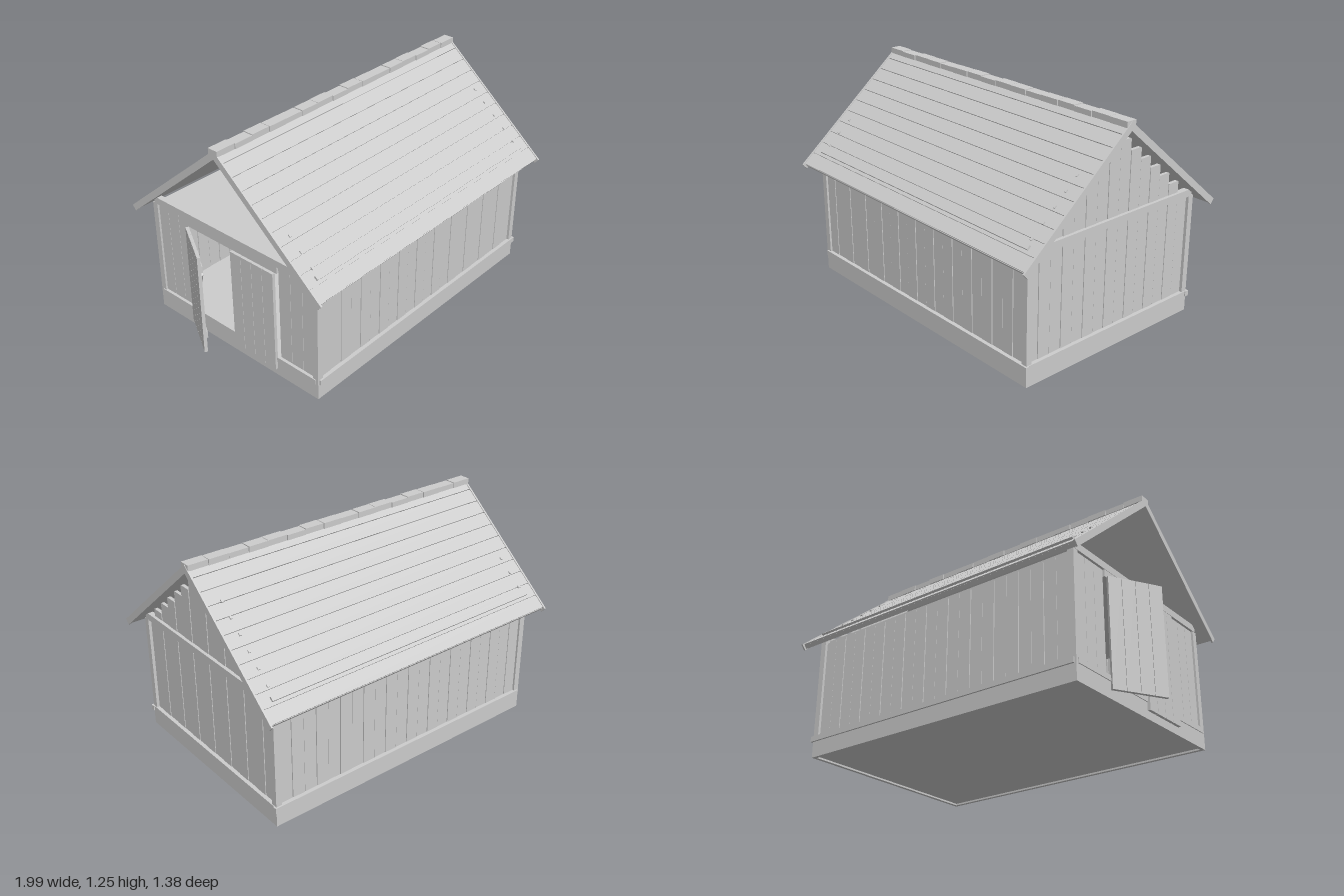
import * as THREE from 'three';

const wood = new THREE.MeshStandardMaterial({ color: 0xcccccc });
wood.name = 'pale grey wood';

// Box given by its extents on each axis
function slab(parent, name, x0, x1, y0, y1, z0, z1) {
  const m = new THREE.Mesh(new THREE.BoxGeometry(x1 - x0, y1 - y0, z1 - z0), wood);
  m.position.set((x0 + x1) / 2, (y0 + y1) / 2, (z0 + z1) / 2);
  m.name = name;
  parent.add(m);
  return m;
}

function section(parent, name) {
  const g = new THREE.Group();
  g.name = name;
  parent.add(g);
  return g;
}

const X0 = -0.83, X1 = 0.92, Z = 0.6;
const ROOF0 = -0.9, ROOF1 = 0.99, APEX = 1.245;
const PITCH = Math.atan2(0.58, 0.69), SLOPE = 0.9;
const underRoof = z => 1.195 - 0.845 * Math.abs(z);

export function createModel() {
  const barn = new THREE.Group();
  barn.name = 'barn';

  // Plinth boards, floor and sill rails
  const base = section(barn, 'base');
  slab(base, 'floor', X0 + 0.02, X1 - 0.02, 0.01, 0.1, -Z + 0.02, Z - 0.02);
  for (const s of [-1, 1]) {
    const z = s * (Z - 0.01);
    slab(base, 'plinthLong', X0, X1, 0, 0.09, z - 0.01, z + 0.01);
    slab(base, 'sillRail', X0 + 0.01, X1 + 0.01, 0.09, 0.12, s * 0.598 - 0.012, s * 0.598 + 0.012);
  }
  slab(base, 'plinthRight', X0, X0 + 0.02, 0, 0.09, -Z + 0.02, Z - 0.02);
  slab(base, 'plinthLeft', X1 - 0.02, X1, 0, 0.09, -Z + 0.02, Z - 0.02);
  slab(base, 'sillLeft', X1 - 0.02, X1 + 0.005, 0.09, 0.12, -0.585, 0.585);
  slab(base, 'sillRight', X0 - 0.005, X0 + 0.02, 0.09, 0.12, -0.585, 0.585);

  // Corner posts and tie beams
  const frame = section(barn, 'frame');
  for (const s of [-1, 1]) {
    for (const x of [X0, X1 - 0.035]) {
      const z = s * (Z - 0.0175);
      slab(frame, 'cornerPost', x, x + 0.035, 0.09, 0.69, z - 0.0175, z + 0.0175);
    }
  }
  slab(frame, 'tieBeamLeft', X1 - 0.03, X1 + 0.002, 0.69, 0.73, -0.585, 0.585);
  slab(frame, 'tieBeamRight', X0 - 0.002, X0 + 0.03, 0.69, 0.73, -0.585, 0.585);
  slab(frame, 'loftFloor', X0 + 0.02, X1 - 0.02, 0.69, 0.705, -0.565, 0.565);

  // Long wall planks
  const walls = section(barn, 'walls');
  const n = 22, w = (X1 - X0 - 0.07) / n;
  for (const s of [-1, 1]) {
    for (let i = 0; i < n; i++) {
      const x = X0 + 0.035 + i * w, z = s * (Z - 0.02 - 0.002 * (i % 2));
      slab(walls, 'wallPlank', x + 0.001, x + w - 0.002, 0.1, 0.68, z - 0.009, z + 0.009);
    }
  }

  // Closed gable: planks with stepped tops under the roof
  const gw = 0.077;
  for (let i = -7; i <= 7; i++) {
    const z = i * gw + 0.012;
    const far = Math.max(Math.abs(z - gw / 2), Math.abs(z + gw / 2));
    const top = i === 0 ? 1.18 : underRoof(far) + 0.012;
    slab(walls, 'gablePlank', X1 - 0.035, X1 - 0.015 - 0.002 * (i & 1), 0.1, top,
      Math.max(z - gw / 2 + 0.001, -0.57), Math.min(z + gw / 2 - 0.002, 0.575));
  }

  // Doorway end: planks beside the opening and a lintel
  for (const s of [-1, 1]) {
    for (let i = 0; i < 3; i++) {
      const z = s * (0.37 + i * 0.08);
      slab(walls, 'doorwayPlank', X0 + 0.012, X0 + 0.032, 0.1, 0.69, z - 0.039, z + 0.039);
    }
  }
  slab(walls, 'lintel', X0, X0 + 0.03, 0.65, 0.69, -0.33, 0.33);

  // Door leaves: one swung outwards, one shut
  function doorLeaf(name, z, swing) {
    const leaf = section(barn, name);
    for (let i = 0; i < 4; i++) {
      slab(leaf, 'doorPlank', -0.009, 0.009, 0.045, 0.65, i * 0.076, i * 0.076 + 0.074);
    }
    for (const y of [0.12, 0.54]) slab(leaf, 'doorBatten', 0.009, 0.02, y, y + 0.04, 0.02, 0.28);
    const brace = slab(leaf, 'doorBrace', 0.009, 0.019, -0.02, 0.02, -0.225, 0.225);
    brace.position.set(0.014, 0.35, 0.15);
    brace.rotation.x = -1.0;
    leaf.position.set(X0 - 0.008, 0, z);
    leaf.rotation.y = swing;
  }
  doorLeaf('openDoor', -0.32, -0.53);
  doorLeaf('shutDoor', 0.015, 0);

  // Two mirrored roof slopes; local z runs down the slope, local y out of it
  for (const s of [1, -1]) {
    const side = section(barn, s > 0 ? 'frontRoof' : 'backRoof');
    side.rotation.y = s > 0 ? 0 : Math.PI;
    const slope = section(side, 'roofSlope');
    slope.position.y = APEX;
    slope.rotation.x = PITCH;
    const bar = (name, a, b, y0, y1, z0, z1) =>
      slab(slope, name, Math.min(a * s, b * s), Math.max(a * s, b * s), y0, y1, z0, z1);
    bar('roofDeck', ROOF0 + 0.004, ROOF1 - 0.004, -0.034, -0.012, 0.01, SLOPE - 0.012);
    const boards = 11, bw = (SLOPE - 0.01) / boards;
    for (let i = 0; i < boards; i++) {
      bar('roofBoard', ROOF0 + 0.004, ROOF1 - 0.004, -0.02, -0.004, i * bw, (i + 1) * bw - 0.005);
    }
    for (const x of [ROOF0, ROOF1 - 0.01]) bar('bargeBoard', x, x + 0.01, -0.036, 0, 0, SLOPE);
    // Snow rail and peg ends
    bar('snowRail', X0, X1, -0.012, 0.008, 0.762, 0.786);
    for (const [x, first] of [[-0.81, 0.41], [0.9, s > 0 ? 0.27 : 0.18]]) {
      for (let z = first; z < 0.58; z += 0.072) {
        const d = z / Math.cos(PITCH);
        bar('roofPeg', x - 0.006, x + 0.006, -0.012, 0.003, d - 0.008, d + 0.008);
      }
    }
  }

  // Ridge cap blocks
  const ridge = section(barn, 'ridgeCap');
  const count = 16, rw = (ROOF1 - ROOF0) / count;
  for (let i = 0; i < count; i++) {
    const x = ROOF0 + i * rw, dy = 0.003 * (i % 3 === 1), dz = 0.003 * (i % 2);
    slab(ridge, 'ridgeBlock', x, x + rw - 0.003, 1.218, 1.25 - dy, -0.033 + dz, 0.028 + dz);
  }
  return barn;
}
